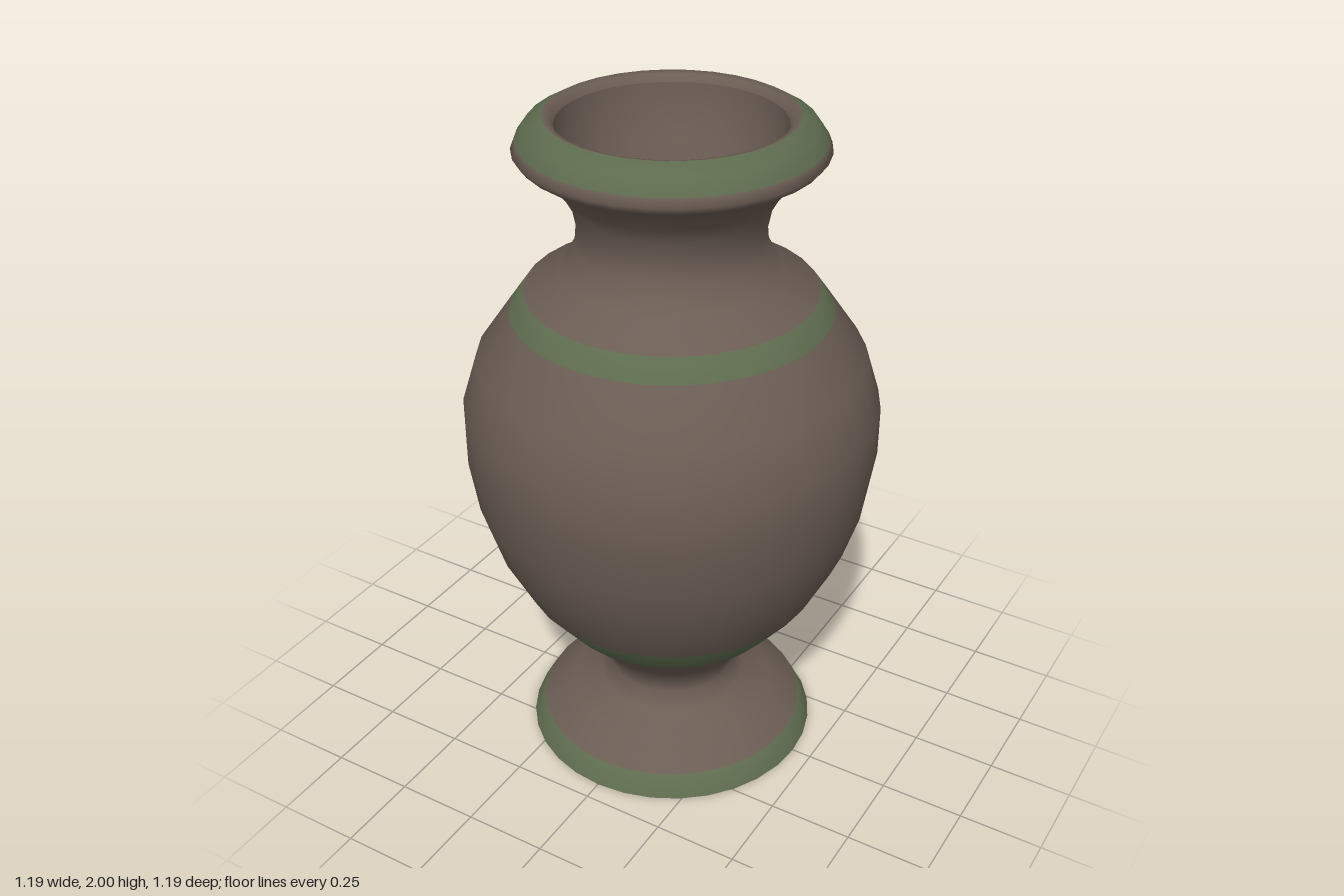
import * as THREE from 'three';

const SIDES = 32;
const clay = new THREE.MeshStandardMaterial({ color: 0x6b5d54 });
const green = new THREE.MeshStandardMaterial({ color: 0x5d6b4e });

// Outer wall sections from foot to lip: [name, material, [radius, height]...].
// Each section starts where the previous one ends.
const sections = [
  ['footBand', green, [[0.44, 0], [0.405, 0.065]]],
  ['footAndStem', clay, [[0.31, 0.115], [0.22, 0.16], [0.192, 0.21], [0.2, 0.26],
    [0.245, 0.32], [0.355, 0.435]]],
  ['lowerBand', green, [[0.447, 0.55]]],
  ['belly', clay, [[0.528, 0.71], [0.572, 0.85], [0.597, 1.01], [0.597, 1.155],
    [0.552, 1.3], [0.455, 1.44]]],
  ['shoulderBand', green, [[0.412, 1.5]]],
  ['neck', clay, [[0.308, 1.56], [0.265, 1.635], [0.26, 1.69], [0.272, 1.75], [0.3, 1.8],
    [0.35, 1.855], [0.41, 1.89], [0.425, 1.91], [0.415, 1.935]]],
  ['lipBand', green, [[0.387, 1.974], [0.34, 2]]],
  ['innerLip', clay, [[0.322, 1.995], [0.31, 1.975]]],
];

const toPoints = (list) => list.map(([r, y]) => new THREE.Vector2(r, y));

// Keeps only the lathe rows from..to, so shading stays smooth across sections
function latheRows(lathe, rows, from, to) {
  const index = [];
  for (let s = 0; s < SIDES; s++) {
    for (let j = from; j < to; j++) {
      const start = (s * rows + j) * 6;
      for (let k = 0; k < 6; k++) index.push(lathe.index.getX(start + k));
    }
  }
  const geometry = lathe.clone();
  geometry.setIndex(index);
  return geometry;
}

export function createModel() {
  const vase = new THREE.Group();
  vase.name = 'vase';
  const add = (name, geometry, material) => {
    const mesh = new THREE.Mesh(geometry, material);
    mesh.name = name;
    vase.add(mesh);
    return mesh;
  };

  // Outer wall with painted bands
  const profile = toPoints(sections.flatMap((section) => section[2]));
  const lathe = new THREE.LatheGeometry(profile, SIDES);
  let end = -1;
  for (const [name, material, points] of sections) {
    const start = Math.max(end, 0);
    end += points.length;
    add(name, latheRows(lathe, profile.length - 1, start, end), material);
  }

  // Inside of the neck, narrowing to the floor
  const inside = toPoints([[0.31, 1.975], [0.302, 1.9], [0.275, 1.82], [0.245, 1.74], [0.23, 1.67]]);
  add('innerWall', new THREE.LatheGeometry(inside, SIDES), clay);
  const floor = add('innerFloor', new THREE.CircleGeometry(0.23, SIDES), clay);
  floor.rotation.x = -Math.PI / 2;
  floor.position.y = 1.67;

  // Underside of the foot
  const base = add('base', new THREE.CircleGeometry(0.44, SIDES), clay);
  base.rotation.x = Math.PI / 2;

  return vase;
}
